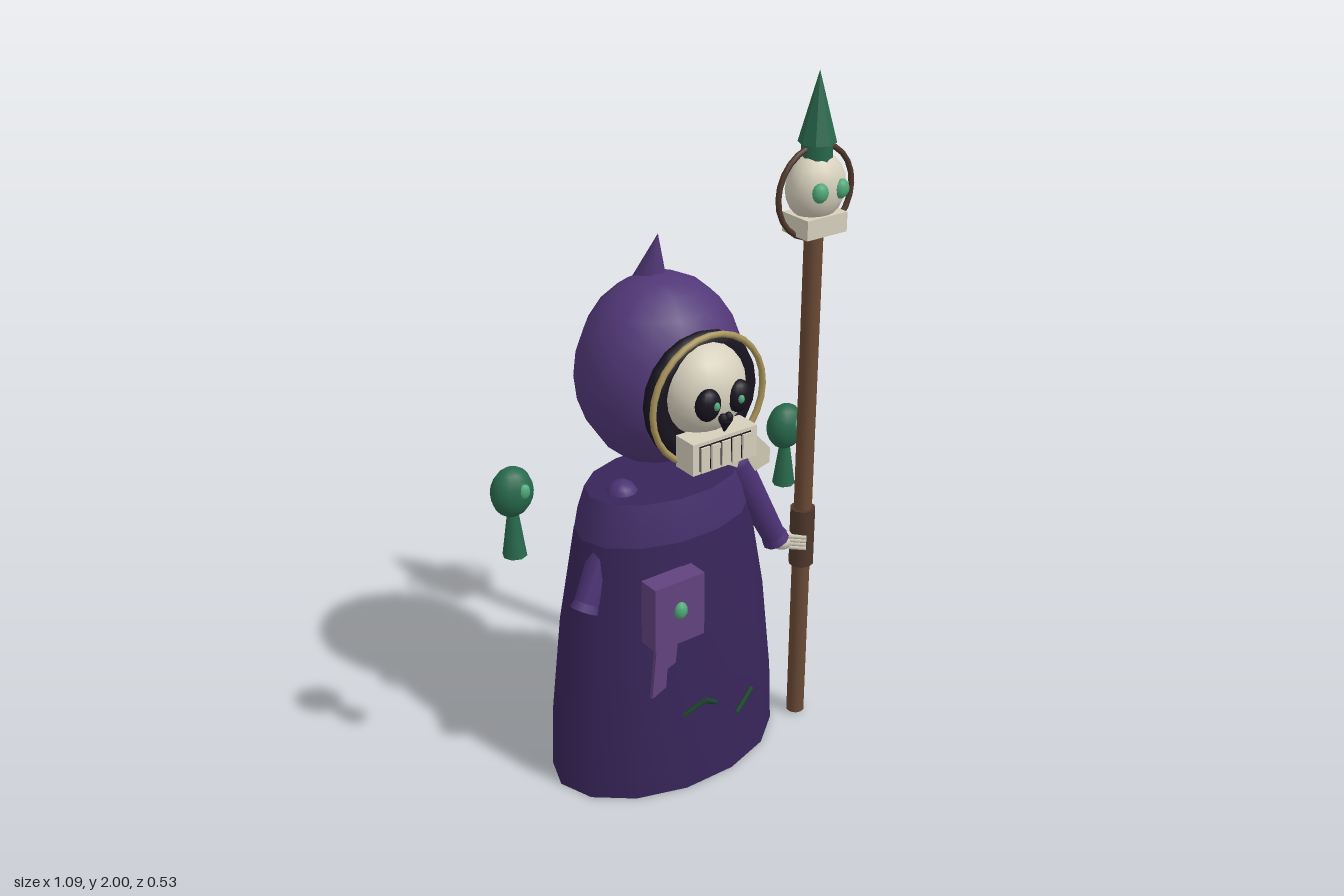
import * as THREE from 'three';

const mat = (color, opts = {}) => {
  const m = new THREE.MeshStandardMaterial(opts);
  m.color.set(color);
  return m;
};
const M = {
  robe: mat(0x38255a), band: mat(0x452f6b), hood: mat(0x523878), sleeve: mat(0x4c3274),
  book: mat(0x62437f), dark: mat(0x17131f), bone: mat(0xd6cfbc), gold: mat(0xa8935a),
  wood: mat(0x6a4a35), wrap: mat(0x4f382c), green: mat(0x28694c), glow: mat(0x4fa878),
  crystal: mat(0x28694c, { flatShading: true }), rune: mat(0x1d4531),
  boneFlat: mat(0xcfc8b4, { flatShading: true }),
};
const UP = new THREE.Vector3(0, 1, 0);

export function createModel() {
  const root = new THREE.Group();
  root.name = 'hoodedSkeletonMage';

  const add = (name, geo, material, pos = [0, 0, 0], parent = root) => {
    const mesh = new THREE.Mesh(geo, material);
    mesh.name = name;
    mesh.position.set(...pos);
    parent.add(mesh);
    return mesh;
  };
  const box = (name, m, size, pos, parent) => add(name, new THREE.BoxGeometry(...size), m, pos, parent);
  const ball = (name, m, radii, pos, parent, w = 14, h = 10) => {
    const mesh = add(name, new THREE.SphereGeometry(1, w, h), m, pos, parent);
    mesh.scale.set(...radii);
    return mesh;
  };
  // Tapered rod from point a to point b
  const rod = (name, m, a, b, ra, rb, sides = 10, parent = root) => {
    const A = new THREE.Vector3(...a), B = new THREE.Vector3(...b);
    const d = B.clone().sub(A);
    const mesh = add(name, new THREE.CylinderGeometry(rb, ra, d.length(), sides), m,
      A.clone().add(B).multiplyScalar(0.5).toArray(), parent);
    mesh.quaternion.setFromUnitVectors(UP, d.normalize());
    return mesh;
  };
  const slab = (name, m, pts, depth, z) => add(name, new THREE.ExtrudeGeometry(
    new THREE.Shape(pts.map(p => new THREE.Vector2(...p))), { depth, bevelEnabled: false }), m, [0, 0, z]);

  // Robe and collar: oval turned shapes with 14 sides
  const turned = (name, m, profile) => {
    const g = new THREE.LatheGeometry(profile.map(p => new THREE.Vector2(...p)), 14, Math.PI / 14);
    add(name, g, m, [-0.017, 0, -0.035]).scale.z = 0.645;
  };
  turned('robe', M.robe, [[0, 0.004], [0.367, 0.004], [0.367, 0.004], [0.359, 0.2], [0.327, 0.5], [0.275, 0.79]]);
  turned('collar', M.band, [[0.275, 0.785], [0.262, 0.85], [0.241, 0.91]]);
  turned('collarTop', M.robe, [[0.241, 0.91], [0, 0.91]]);

  // Hood with its small peak
  ball('hood', M.hood, [0.24, 0.27, 0.212], [-0.015, 1.225, -0.053], root, 14, 12);
  rod('hoodPeak', M.hood, [-0.015, 1.44, -0.1], [-0.015, 1.605, -0.055], 0.056, 0, 10);

  // Dark hood opening and gold rim
  const lining = add('hoodLining', new THREE.TorusGeometry(0.145, 0.036, 8, 20), M.dark, [-0.015, 1.213, 0.132]);
  lining.scale.z = 0.8;
  const back = add('hoodShadow', new THREE.CylinderGeometry(0.14, 0.14, 0.03, 20), M.dark, [-0.015, 1.213, 0.14]);
  back.rotation.x = Math.PI / 2;
  add('hoodRim', new THREE.TorusGeometry(0.18, 0.009, 8, 28), M.gold, [-0.015, 1.213, 0.17]);

  // Skull face
  const skull = new THREE.Group();
  skull.name = 'skull';
  skull.position.set(-0.017, 1.24, 0.14);
  root.add(skull);
  ball('cranium', M.bone, [0.126, 0.13, 0.105], [0, 0, 0], skull, 16, 12);
  box('jaw', M.bone, [0.21, 0.09, 0.075], [0, -0.145, 0.068], skull);
  for (let i = -2; i <= 2; i++) {
    box('toothGap', M.dark, [0.032, 0.072, 0.004], [i * 0.034, -0.146, 0.1045], skull);
    box('tooth', M.bone, [0.027, 0.072, 0.012], [i * 0.034, -0.15, 0.106], skull);
  }
  for (const s of [-1, 1]) {
    ball('eyeSocket', M.dark, [0.038, 0.045, 0.026], [s * 0.05, -0.005, 0.094], skull);
    ball('eye', M.glow, [0.01, 0.012, 0.008], [s * 0.04, -0.003, 0.118], skull, 8, 6);
    ball('nostril', M.dark, [0.013, 0.016, 0.012], [s * 0.009, -0.052, 0.105], skull, 8, 6);
  }
  rod('noseHollow', M.dark, [0, -0.055, 0.105], [0, -0.09, 0.1], 0.02, 0.003, 6, skull);

  // Arms with flared cuffs
  const arm = (name, a, b) => {
    rod(name, M.sleeve, a, b, 0.048, 0.036);
    ball(name + 'Shoulder', M.sleeve, [0.048, 0.048, 0.048], a, root, 10, 8);
    const t = (k) => a.map((v, i) => v + (b[i] - v) * k);
    rod(name + 'Cuff', M.sleeve, t(0.88), t(1.04), 0.03, 0.042);
  };
  arm('rightArm', [-0.165, 0.892, -0.02], [-0.318, 0.615, 0.02]);
  arm('leftArm', [0.19, 0.91, 0.025], [0.32, 0.635, 0.055]);

  // Left hand gripping the staff
  ball('leftHand', M.bone, [0.04, 0.028, 0.03], [0.345, 0.62, 0.065], root, 10, 8);
  for (let i = 0; i < 4; i++) {
    const y = 0.604 + i * 0.012;
    rod('finger', M.bone, [0.35, y, 0.085], [0.385, y, 0.122], 0.007, 0.006, 6);
    box('fingertip', M.bone, [0.012, 0.007, 0.035], [0.434, y, 0.075]);
  }

  // Bone shoulder plate
  slab('shoulderPlate', M.boneFlat, [[0.13, 0.935], [0.225, 0.88], [0.285, 0.895], [0.285, 0.94],
    [0.235, 0.995], [0.2, 1.005], [0.165, 0.995], [0.125, 0.95]], 0.077, -0.012);

  // Staff: shaft, grip, skull, ring and spike
  const staff = new THREE.Group();
  staff.name = 'staff';
  staff.position.set(0.401, 0, 0.083);
  root.add(staff);
  rod('shaft', M.wood, [0, 0.01, 0], [0, 1.58, 0], 0.027, 0.027, 10, staff);
  rod('grip', M.wrap, [0, 0.535, 0], [0, 0.72, 0], 0.037, 0.037, 10, staff);
  ball('staffCranium', M.bone, [0.09, 0.095, 0.07], [0, 1.69, 0], staff);
  box('staffJaw', M.bone, [0.138, 0.055, 0.105], [0, 1.592, 0.002], staff);
  for (const s of [-1, 1]) ball('staffEye', M.glow, [0.025, 0.027, 0.018], [s * 0.036, 1.692, 0.061], staff, 10, 8);
  add('staffRing', new THREE.TorusGeometry(0.127, 0.008, 8, 24), M.wrap, [0, 1.675, 0], staff);
  rod('spikeBase', M.green, [0, 1.76, 0], [0, 1.815, 0], 0.042, 0.042, 8, staff);
  rod('spike', M.crystal, [0, 1.81, 0], [0, 2, 0], 0.052, 0, 8, staff);

  // Hanging book, gem and torn strip
  box('book', M.book, [0.165, 0.195, 0.065], [-0.135, 0.622, 0.176]);
  ball('bookGem', M.glow, [0.021, 0.026, 0.016], [-0.135, 0.63, 0.211], root, 10, 8);
  slab('tornStrip', M.book, [[-0.195, 0.53], [-0.212, 0.355], [-0.165, 0.375], [-0.16, 0.435],
    [-0.132, 0.445], [-0.122, 0.53]], 0.012, 0.172);

  // Rune strokes on the robe front
  for (const [a, b] of [
    [[-0.113, 0.268, 0.2], [-0.06, 0.312, 0.225]],
    [[-0.06, 0.312, 0.225], [-0.004, 0.268, 0.2]],
    [[0.066, 0.21, 0.213], [0.13, 0.264, 0.2]],
  ]) rod('runeStroke', M.rune, a, b, 0.008, 0.008, 6);

  // Floating wisps
  for (const [x, y, z] of [[-0.486, 0.99, -0.06], [0.477, 0.89, -0.097]]) {
    const wisp = new THREE.Group();
    wisp.name = 'wisp';
    wisp.position.set(x, y, z);
    root.add(wisp);
    ball('wispHead', M.green, [0.061, 0.071, 0.048], [0, 0, 0], wisp, 12, 10);
    rod('wispTail', M.green, [0, -0.19, 0], [0, -0.05, 0], 0.034, 0.014, 8, wisp);
    ball('wispSpark', M.glow, [0.018, 0.022, 0.012], [0.014, 0.012, 0.04], wisp, 8, 6);
  }

  return root;
}
